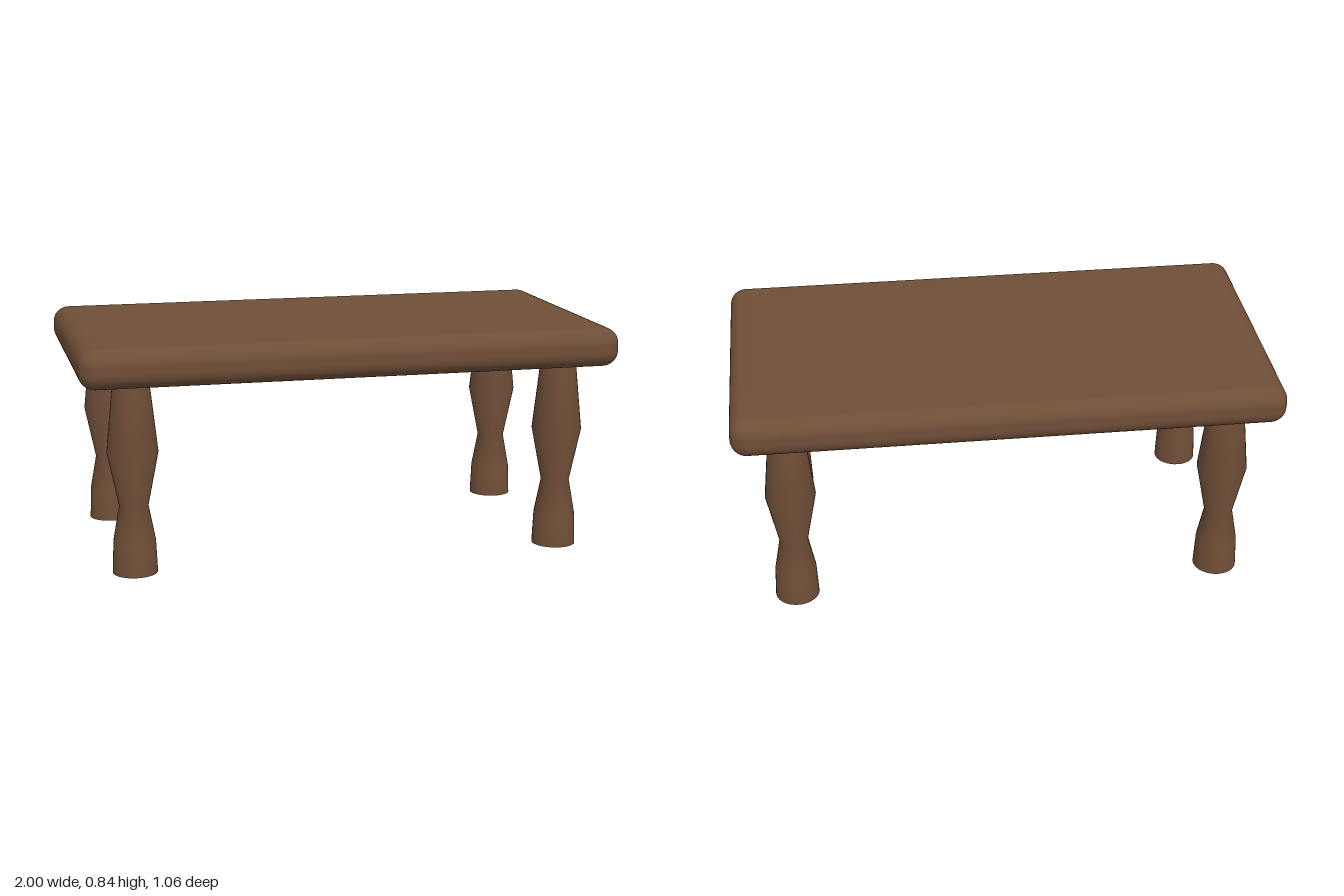
import * as THREE from 'three';
import { RoundedBoxGeometry } from 'three/addons/geometries/RoundedBoxGeometry.js';

export function createModel() {
  const table = new THREE.Group();
  table.name = 'table';

  const wood = new THREE.MeshStandardMaterial({ color: 0x6f4e37, side: THREE.DoubleSide });
  wood.name = 'brown wood';

  // Thick slab with rounded edges
  const top = new THREE.Mesh(new RoundedBoxGeometry(2, 0.145, 1.064, 6, 0.06), wood);
  top.name = 'tableTop';
  top.position.y = 0.7725;
  table.add(top);

  // Turned legs, open at the foot: radius and height from floor to slab
  const profile = [
    [0.082, 0], [0.077, 0.12], [0.053, 0.25], [0.093, 0.45], [0.066, 0.705],
  ].map(([r, y]) => new THREE.Vector2(r, y));
  const legGeometry = new THREE.LatheGeometry(profile, 32);

  for (const [side, x] of [['Left', 0.805], ['Right', -0.805]]) {
    for (const [end, z] of [['front', 0.381], ['back', -0.381]]) {
      const leg = new THREE.Mesh(legGeometry, wood);
      leg.name = `${end}${side}Leg`;
      leg.position.set(x, 0, z);
      table.add(leg);
    }
  }
  return table;
}
